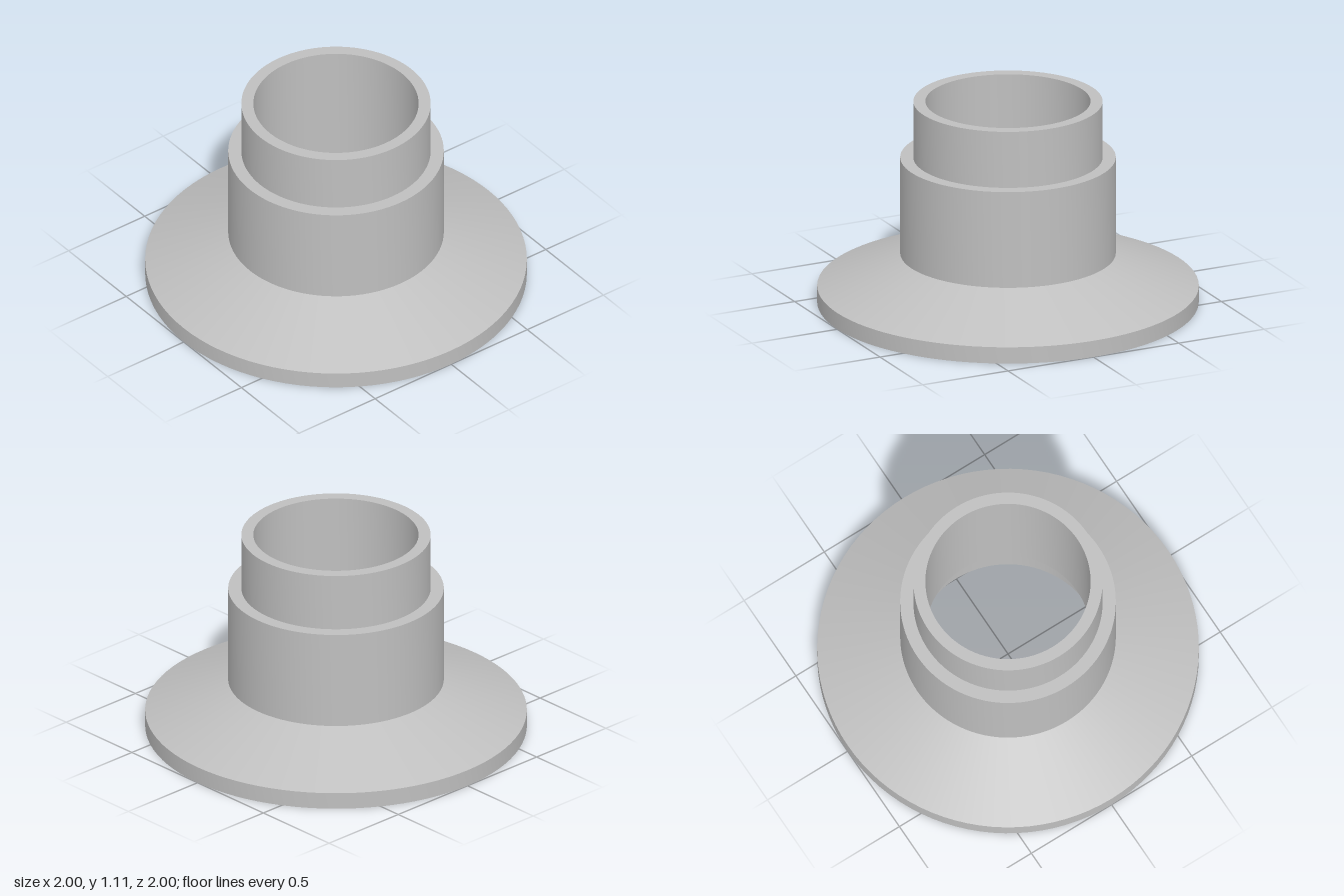
import * as THREE from 'three';
import { toCreasedNormals } from 'three/addons/utils/BufferGeometryUtils.js';

const SEGMENTS = 96;

// Revolved band with smooth walls and sharp rims
function turned(name, profile, material) {
  const points = profile.map(([r, y]) => new THREE.Vector2(r, y));
  const geometry = toCreasedNormals(new THREE.LatheGeometry(points, SEGMENTS), 0.5);
  const mesh = new THREE.Mesh(geometry, material);
  mesh.name = name;
  return mesh;
}

export function createModel() {
  const grey = new THREE.MeshStandardMaterial({ color: 0xbfbfbf });
  grey.name = 'grey metal';

  const bore = 0.433, counterbore = 0.5, ledge = 0.31;
  const hub = 0.565, spigot = 0.496, shoulder = 0.8, top = 1.11;

  const group = new THREE.Group();
  group.name = 'flangedSleeve';
  group.add(
    // Wide foot: counterbore wall, flat underside, rim and conical top
    turned('flange', [[counterbore, ledge], [counterbore, 0], [1, 0], [1, 0.09], [hub, 0.27]], grey),
    // Thick middle tube with its shoulder
    turned('hub', [[hub, 0.27], [hub, shoulder], [spigot, shoulder]], grey),
    // Narrow upper tube, lip, bore and the ledge inside
    turned('spigot', [[spigot, shoulder], [spigot, top], [bore, top], [bore, ledge], [counterbore, ledge]], grey)
  );
  return group;
}
